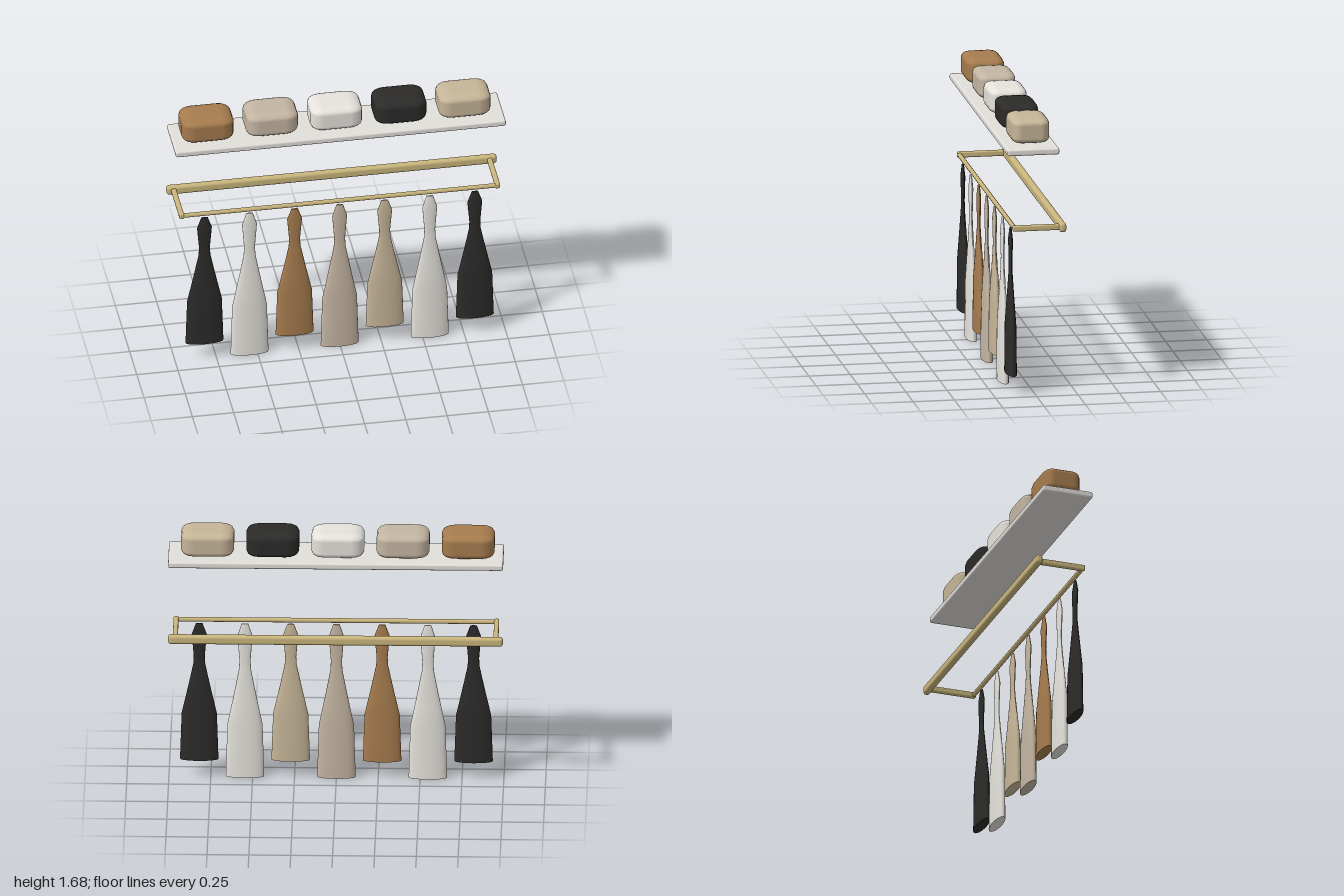
import * as THREE from 'three';
import { RoundedBoxGeometry } from 'three/addons/geometries/RoundedBoxGeometry.js';

const mat = (color, side = THREE.FrontSide) => new THREE.MeshStandardMaterial({ color, side });
const COLORS = { camel: 0xa67c4e, taupe: 0xc4b5a2, ivory: 0xe6e3dc, black: 0x2c2b2a, sand: 0xc6b598, brass: 0xc9b57c, shelf: 0xe2dfda };

export function createModel() {
  const group = new THREE.Group();
  const add = (name, geometry, material, x, y, z) => {
    const mesh = new THREE.Mesh(geometry, material);
    mesh.name = name;
    mesh.position.set(x, y, z);
    group.add(mesh);
    return mesh;
  };

  // Shelf board
  add('shelf', new RoundedBoxGeometry(2, 0.04, 0.316, 2, 0.012), mat(COLORS.shelf), 0, 1.5, 0.02);

  // Soft folded bundles along the shelf
  const bundle = new RoundedBoxGeometry(1, 1, 1, 2, 0.25);
  ['camel', 'taupe', 'ivory', 'black', 'sand'].forEach((c, i) => {
    add('foldedBundle' + (i + 1), bundle, mat(COLORS[c]), -0.79 + i * 0.389, 1.603, 0.015)
      .scale.set(0.315, 0.155, 0.232);
  });

  // Brass hanging frame: wall bar, two arms, front rod
  const brass = mat(COLORS.brass);
  add('wallBar', new RoundedBoxGeometry(2, 0.058, 0.042, 3, 0.018), brass, 0, 1.028, -0.16);
  for (const s of [-1, 1]) {
    add(s > 0 ? 'leftArm' : 'rightArm', new RoundedBoxGeometry(0.03, 0.036, 0.29, 2, 0.01), brass, s * 0.957, 1.027, -0.005);
  }
  const rod = new THREE.CylinderGeometry(0.014, 0.014, 1.92, 10).rotateZ(Math.PI / 2);
  add('frontRod', rod, brass, 0, 1.027, 0.126);

  // Hanging scarves: flattened lathe, pinched neck, [radius, distance down]
  const profile = [[0.02, 0], [0.045, 0.08], [0.033, 0.24], [0.036, 0.3], [0.058, 0.42], [0.083, 0.55], [0.105, 0.66], [0.115, 1]];
  const scarfGeometry = (length) => new THREE.LatheGeometry(
    profile.map(([r, d]) => new THREE.Vector2(r, -d * length)).reverse(), 20);
  const bottom = new THREE.CircleGeometry(0.115, 20).rotateX(Math.PI / 2);
  const top = new THREE.CircleGeometry(0.02, 20).rotateX(-Math.PI / 2);
  ['black', 'ivory', 'camel', 'taupe', 'sand', 'ivory', 'black'].forEach((c, i) => {
    const length = i % 2 ? 1 : i === 3 ? 1 : 0.89;
    const material = mat(COLORS[c], THREE.DoubleSide);
    const scarf = new THREE.Group();
    scarf.name = 'scarf' + (i + 1);
    scarf.add(new THREE.Mesh(scarfGeometry(length), material));
    const hem = new THREE.Mesh(bottom, material);
    hem.position.y = -length;
    scarf.add(hem, new THREE.Mesh(top, material));
    scarf.children.forEach((m, k) => { m.name = ['drape', 'hem', 'tip'][k]; });
    scarf.position.set((i - 3) * 0.273, 1, 0.128);
    scarf.scale.z = 0.285;
    group.add(scarf);
  });

  return group;
}
